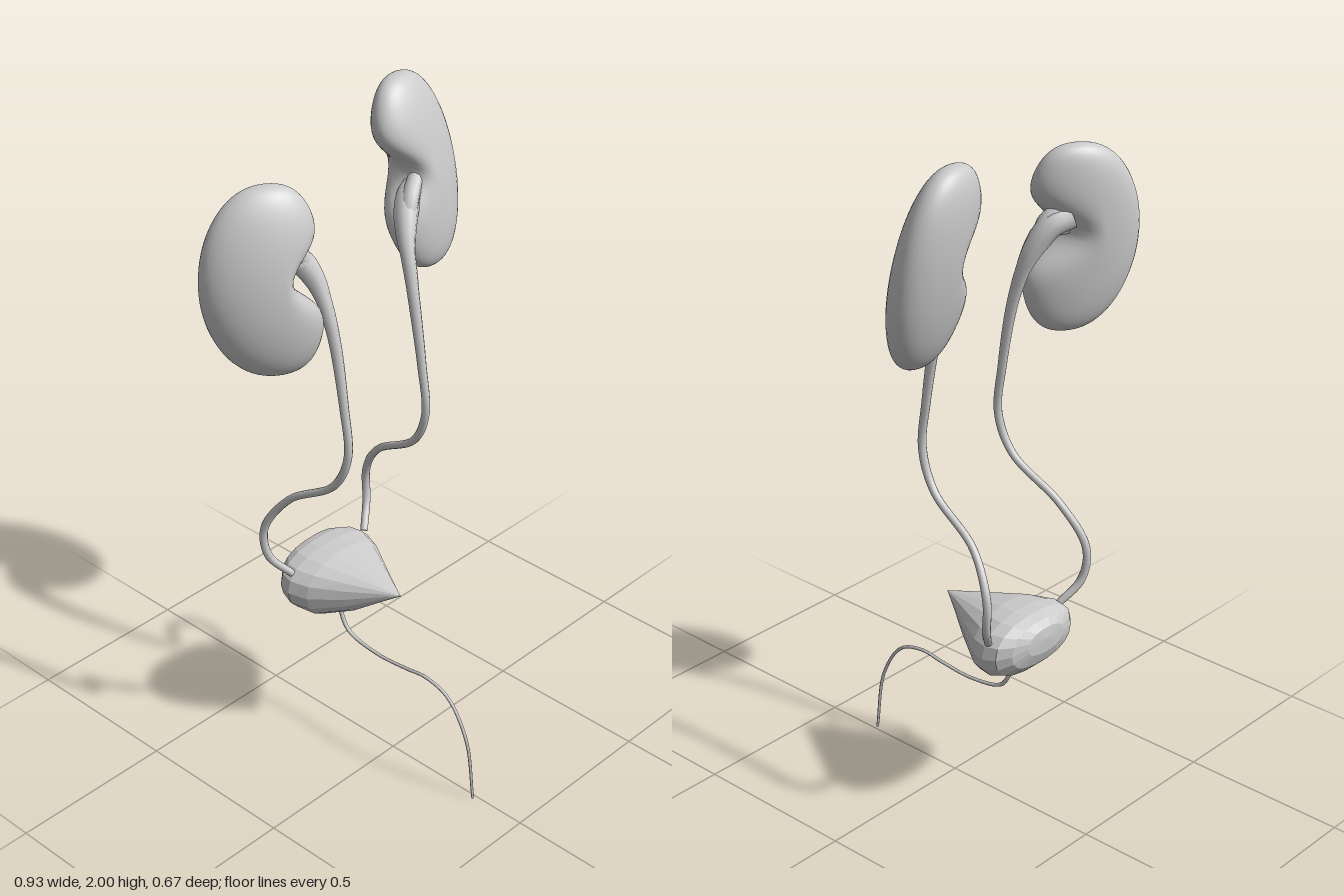
import * as THREE from 'three';
import { mergeVertices } from 'three/addons/utils/BufferGeometryUtils.js';

const smooth = new THREE.MeshStandardMaterial({ color: 0xcccccc });
const tubing = new THREE.MeshStandardMaterial({ color: 0xcccccc, side: THREE.DoubleSide });
const faceted = new THREE.MeshStandardMaterial({ color: 0xcccccc, flatShading: true });

function add(parent, name, geometry, material) {
  const mesh = new THREE.Mesh(geometry, material);
  mesh.name = name;
  parent.add(mesh);
}

// Sphere reshaped into a leaning, turned bean with a notch on its inner side
function kidney({ sign, x, y, width, height, depth, lean, bend, notch, z, tilt, turn }) {
  const g = new THREE.SphereGeometry(1, 40, 48);
  g.deleteAttribute('uv');
  g.deleteAttribute('normal');
  const pos = g.attributes.position;
  for (let i = 0; i < pos.count; i++) {
    const v = pos.getY(i);
    const ring = Math.max(1e-6, 1 - v * v);
    const fuller = ring ** -0.1;
    const px = pos.getX(i) * fuller, pz = pos.getZ(i) * fuller;
    const inner = Math.max(0, -sign * px);
    const dent = notch * Math.exp(-(((v * height - 0.02) / 0.08) ** 2)) * inner;
    const dx = px * width + sign * dent;
    pos.setXYZ(i,
      sign * (x + lean * v - bend * v * v) + dx,
      y + v * height,
      z + tilt * v + turn * dx + pz * depth);
  }
  const merged = mergeVertices(g);
  merged.computeVertexNormals();
  return merged;
}

// Tube whose radius follows a list of values along its length
function taperedTube(points, radii, segments, sides = 10) {
  const curve = new THREE.CatmullRomCurve3(points);
  const g = new THREE.TubeGeometry(curve, segments, 1, sides);
  const pos = g.attributes.position, v = new THREE.Vector3();
  for (let i = 0; i <= segments; i++) {
    const f = i / segments * (radii.length - 1);
    const k = Math.min(Math.floor(f), radii.length - 2);
    const r = THREE.MathUtils.lerp(radii[k], radii[k + 1], f - k);
    const c = curve.getPointAt(i / segments);
    for (let j = 0; j <= sides; j++) {
      const id = i * (sides + 1) + j;
      v.fromBufferAttribute(pos, id).sub(c).multiplyScalar(r).add(c);
      pos.setXYZ(id, v.x, v.y, v.z);
    }
  }
  return g;
}

// Slightly squared rings from [z, half width, top y, bottom y] rows, skinned back to front
function bladder(rows, n = 18) {
  const full = t => Math.sign(t) * Math.abs(t) ** 0.87;
  const points = [], index = [];
  rows.forEach(([z, w, top, bottom], i) => {
    for (let j = 0; j < n; j++) {
      const angle = j / n * Math.PI * 2;
      points.push(-0.011 + w * full(Math.cos(angle)),
        (top + bottom) / 2 + (top - bottom) / 2 * full(Math.sin(angle)), z);
      if (i === rows.length - 1) continue;
      const a = i * n + j, b = i * n + (j + 1) % n;
      index.push(a, b, a + n, b, b + n, a + n);
    }
  });
  const g = new THREE.BufferGeometry();
  g.setAttribute('position', new THREE.Float32BufferAttribute(points, 3));
  g.setIndex(index);
  g.computeVertexNormals();
  return g;
}

const SIDES = [
  { name: 'left', sign: 1, x: 0.311, y: 1.725, width: 0.156, height: 0.275, depth: 0.086, lean: -0.018, bend: 0.004,
    notch: 0.1, z: -0.211, tilt: -0.047, turn: -0.14, bow: 0 },
  { name: 'right', sign: -1, x: 0.315, y: 1.63, width: 0.149, height: 0.27, depth: 0.09, lean: 0, bend: 0.035,
    notch: 0.1, z: -0.167, tilt: -0.015, turn: 0.44, bow: 0.023 },
];

const URETER = [
  [0.27, 1.7, -0.18], [0.22, 1.68, -0.155], [0.178, 1.61, -0.12], [0.155, 1.48, -0.075],
  [0.145, 1.25, -0.028], [0.144, 1.1, -0.012], [0.15, 0.99, -0.06], [0.17, 0.88, -0.22],
  [0.2, 0.76, -0.297], [0.195, 0.66, -0.292], [0.145, 0.59, -0.255],
];

const BLADDER = [
  [-0.335, 0, 0.57, 0.57], [-0.331, 0.075, 0.602, 0.525], [-0.315, 0.125, 0.621, 0.487],
  [-0.285, 0.16, 0.632, 0.458], [-0.245, 0.17, 0.635, 0.442], [-0.19, 0.15, 0.632, 0.435],
  [-0.1, 0.091, 0.613, 0.478], [-0.02, 0.038, 0.595, 0.537], [0.04, 0, 0.58, 0.58],
];

const URETHRA = [
  [0.45, -0.2], [0.4, -0.197], [0.35, -0.165], [0.326, -0.05], [0.333, 0.06],
  [0.342, 0.14], [0.315, 0.225], [0.2, 0.298], [0, 0.329],
];

export function createModel() {
  const model = new THREE.Group();
  model.name = 'urinarySystem';

  for (const side of SIDES) {
    const group = new THREE.Group();
    group.name = side.name + 'Side';
    model.add(group);
    add(group, side.name + 'Kidney', kidney(side), smooth);

    // Ureter with a broad funnel at the kidney, bowed outward a little on one side
    const path = URETER.map(([x, y, z]) =>
      new THREE.Vector3(side.sign * (x + side.bow * Math.cos((y - 1) * 3)), y, z));
    add(group, side.name + 'Ureter',
      taperedTube(path, [0.034, 0.034, 0.021, 0.017, 0.015, 0.013, 0.012, 0.012, 0.011, 0.011, 0.011, 0.012, 0.012, 0.011], 90), tubing);

    // Upper and lower branches joining the funnel at the notch
    for (const up of [1, -1]) {
      const start = path[0].clone().add(new THREE.Vector3(0, 0.03 * up, 0.01));
      const middle = path[1].clone().add(new THREE.Vector3(0, 0.015 * up, 0.012));
      add(group, side.name + 'PelvisBranch', taperedTube([start, middle, path[2]], [0.022, 0.025, 0.013], 16), tubing);
    }
  }

  // Bladder, tapering to a point at the front
  add(model, 'bladder', bladder(BLADDER), faceted);

  // Urethra
  const outlet = URETHRA.map(([y, z]) => new THREE.Vector3(-0.012, y, z));
  add(model, 'urethra', taperedTube(outlet, [0.007, 0.005, 0.005, 0.005, 0.004], 60, 8), tubing);

  return model;
}
